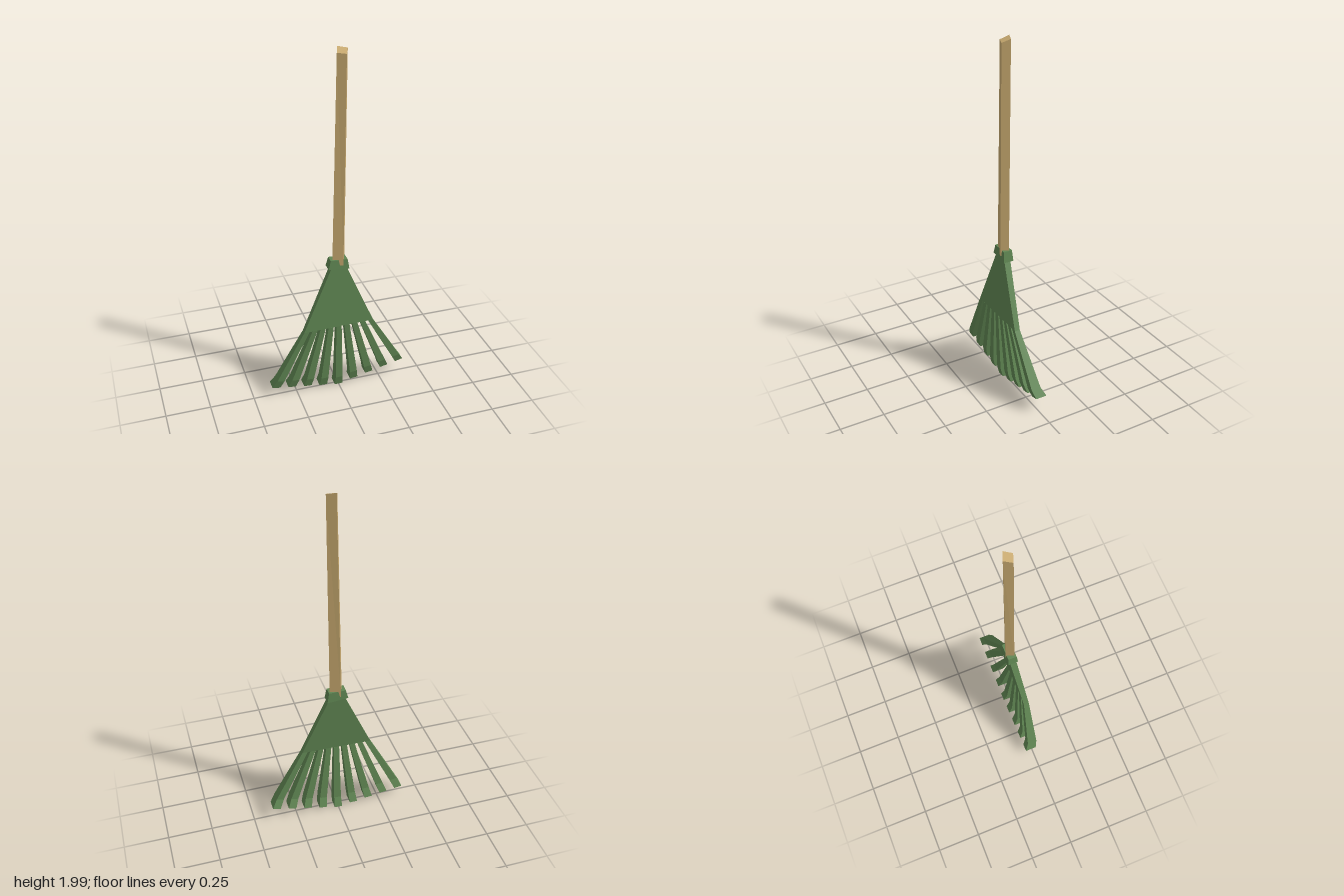
import * as THREE from 'three';

const wood = new THREE.MeshStandardMaterial({ color: 0xc8aa70, flatShading: true });
const green = new THREE.MeshStandardMaterial({ color: 0x5f8552, flatShading: true });

// Skin four-cornered sections, listed from top to bottom.
// Corner order: front left, front right, back right, back left (as seen from +z).
function loft(name, sections, material) {
  const pos = [];
  const quad = (a, b, c, d) => pos.push(...a, ...b, ...c, ...a, ...c, ...d);
  for (let s = 0; s < sections.length - 1; s++) {
    const t = sections[s], b = sections[s + 1];
    for (let k = 0; k < 4; k++) {
      const n = (k + 1) % 4;
      quad(t[k], b[k], b[n], t[n]);
    }
  }
  quad(...sections[0]);
  quad(...[...sections[sections.length - 1]].reverse());
  const geometry = new THREE.BufferGeometry();
  geometry.setAttribute('position', new THREE.Float32BufferAttribute(pos, 3));
  geometry.computeVertexNormals();
  const mesh = new THREE.Mesh(geometry, material);
  mesh.name = name;
  return mesh;
}

// Section spanning x0..x1 at heights y0..y1, from zf (front) to zb (back)
const section = (x0, y0, x1, y1, zf, zb) =>
  [[x0, y0, zf], [x1, y1, zf], [x1, y1, zb], [x0, y0, zb]];

export function createModel() {
  const rake = new THREE.Group();
  rake.name = 'rake';

  // Square handle, twisted about its axis and leaning a little to one side
  rake.add(loft('handle', [
    [[-0.01, 1.98, 0.018], [0.036, 1.975, 0.034], [0.054, 1.993, -0.008], [0.006, 2, -0.026]],
    [[-0.036, 0.81, 0.018], [0.022, 0.81, 0.034], [0.04, 0.81, -0.008], [-0.018, 0.81, -0.026]],
  ], wood));

  // Flared collar joining the handle to the head
  rake.add(loft('collar', [
    section(-0.047, 0.845, 0.048, 0.842, 0.027, -0.022),
    section(-0.06, 0.793, 0.058, 0.782, 0.031, -0.026),
  ], green));

  // Fan plate
  rake.add(loft('fanPlate', [
    section(-0.04, 0.8, 0.04, 0.8, 0.023, -0.014),
    section(-0.207, 0.422, 0.197, 0.43, 0.043, 0.012),
  ], green));

  // Nine tines spreading from the plate, with hooked tips
  const tines = new THREE.Group();
  tines.name = 'tines';
  const mix = THREE.MathUtils.lerp;
  for (let i = -4; i <= 4; i++) {
    const rootX = -0.005 + 0.0467 * i, rootY = 0.426 + 0.001 * i;
    const tipX = 0.093 * i;
    const tipY = 0.007 + Math.abs(i) * (i < 0 ? 0.0145 : 0.0215);
    const slope = 0.0012 * i + 0.001;
    const at = (t, half, zf, zb) => {
      const x = mix(rootX, tipX, t), y = mix(rootY, tipY, t), dy = slope * t;
      return section(x - half, y - dy, x + half, y + dy, zf, zb);
    };
    tines.add(loft('tine', [
      at(0, 0.0152, 0.043, 0.012),
      at(0.86, 0.021, 0.034, -0.022),
      at(1, 0.0225, 0.02, -0.044),
    ], green));
  }
  rake.add(tines);
  return rake;
}
